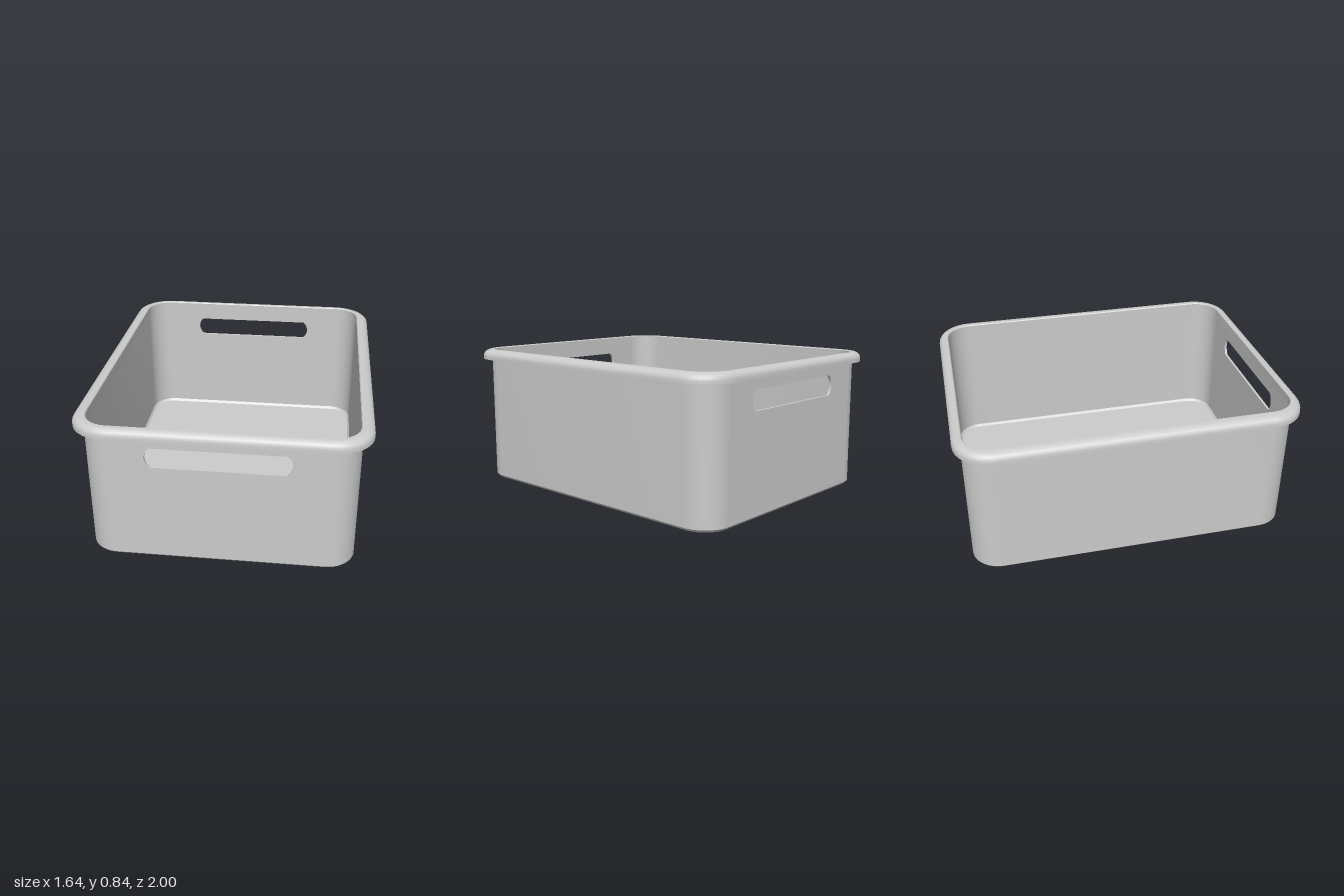
import * as THREE from 'three';
import { toCreasedNormals } from 'three/addons/utils/BufferGeometryUtils.js';

const CX = 0.6, CZ = 0.79; // shared centres of the rounded corners
const N = 8; // segments per corner
const material = new THREE.MeshStandardMaterial({ color: 0xcccccc, side: THREE.DoubleSide });

// Rounded rectangle of half sizes hx, hz at height y
function ring([hx, hz, y]) {
  const points = [];
  for (let q = 0; q < 4; q++) {
    const sx = q === 0 || q === 3 ? 1 : -1;
    const sz = q < 2 ? 1 : -1;
    for (let j = 0; j <= N; j++) {
      const a = (q + j / N) * Math.PI / 2;
      points.push(hx === 0 ? [0, y, 0]
        : [sx * CX + (hx - CX) * Math.cos(a), y, sz * CZ + (hz - CZ) * Math.sin(a)]);
    }
  }
  return points;
}

// Skin the rings of a profile; steps in openSteps leave out the straight front and back
function loft(name, profile, openSteps = []) {
  const rings = profile.map(ring);
  const count = 4 * (N + 1);
  const positions = [];
  for (let i = 0; i < rings.length - 1; i++) {
    for (let k = 0; k < count; k++) {
      if (openSteps.includes(i) && (k === N || k === 3 * N + 2)) continue;
      const n = (k + 1) % count;
      const a = rings[i][k], b = rings[i + 1][k], c = rings[i + 1][n], d = rings[i][n];
      if (profile[i + 1][0] !== 0) positions.push(...a, ...b, ...c);
      if (profile[i][0] !== 0) positions.push(...a, ...c, ...d);
    }
  }
  const geometry = new THREE.BufferGeometry();
  geometry.setAttribute('position', new THREE.Float32BufferAttribute(positions, 3));
  const mesh = new THREE.Mesh(toCreasedNormals(geometry, 0.6), material);
  mesh.name = name;
  return mesh;
}

// Straight end wall with a slot for the hand
function handlePanel(name, z) {
  const shape = new THREE.Shape();
  shape.moveTo(-CX, 0.04);
  shape.lineTo(CX, 0.04);
  shape.lineTo(CX, 0.78);
  shape.lineTo(-CX, 0.78);
  shape.closePath();
  const right = [[0.37, 0.6], [0.385, 0.613], [0.396, 0.637], [0.4, 0.66], [0.396, 0.683], [0.385, 0.707], [0.37, 0.72]];
  const left = right.map(([x, y]) => [-x, y]).reverse();
  shape.holes.push(new THREE.Path([...right, ...left].map(p => new THREE.Vector2(...p)).reverse()));
  const geometry = new THREE.ExtrudeGeometry(shape, { depth: 0.015, bevelEnabled: false });
  const mesh = new THREE.Mesh(toCreasedNormals(geometry, 0.6), material);
  mesh.position.z = z;
  mesh.name = name;
  return mesh;
}

export function createModel() {
  const model = new THREE.Group();
  model.name = 'storageBin';

  // Floor, chamfered foot, side walls and corners
  model.add(loft('body', [
    [0, 0, 0], [0.745, 0.94, 0], [0.76, 0.955, 0.016], [0.76, 0.955, 0.04], [0.76, 0.955, 0.78],
    [0.745, 0.94, 0.78], [0.745, 0.94, 0.04], [0.733, 0.926, 0.025], [0, 0, 0.025],
  ], [3, 5]));

  // End walls with hand slots
  model.add(handlePanel('frontHandleWall', 0.94));
  model.add(handlePanel('backHandleWall', -0.955));

  // Overhanging rim with a rounded top
  const rim = [[0.745, 0.94, 0.78], [0.82, 1, 0.78]];
  for (let i = 0; i <= 5; i++) {
    const a = i / 5 * Math.PI / 2;
    rim.push([0.762 + 0.058 * Math.cos(a), 0.955 + 0.045 * Math.cos(a), 0.8 + 0.04 * Math.sin(a)]);
  }
  rim.push([0.75, 0.945, 0.84], [0.745, 0.94, 0.835], [0.745, 0.94, 0.78]);
  model.add(loft('rim', rim));

  return model;
}
